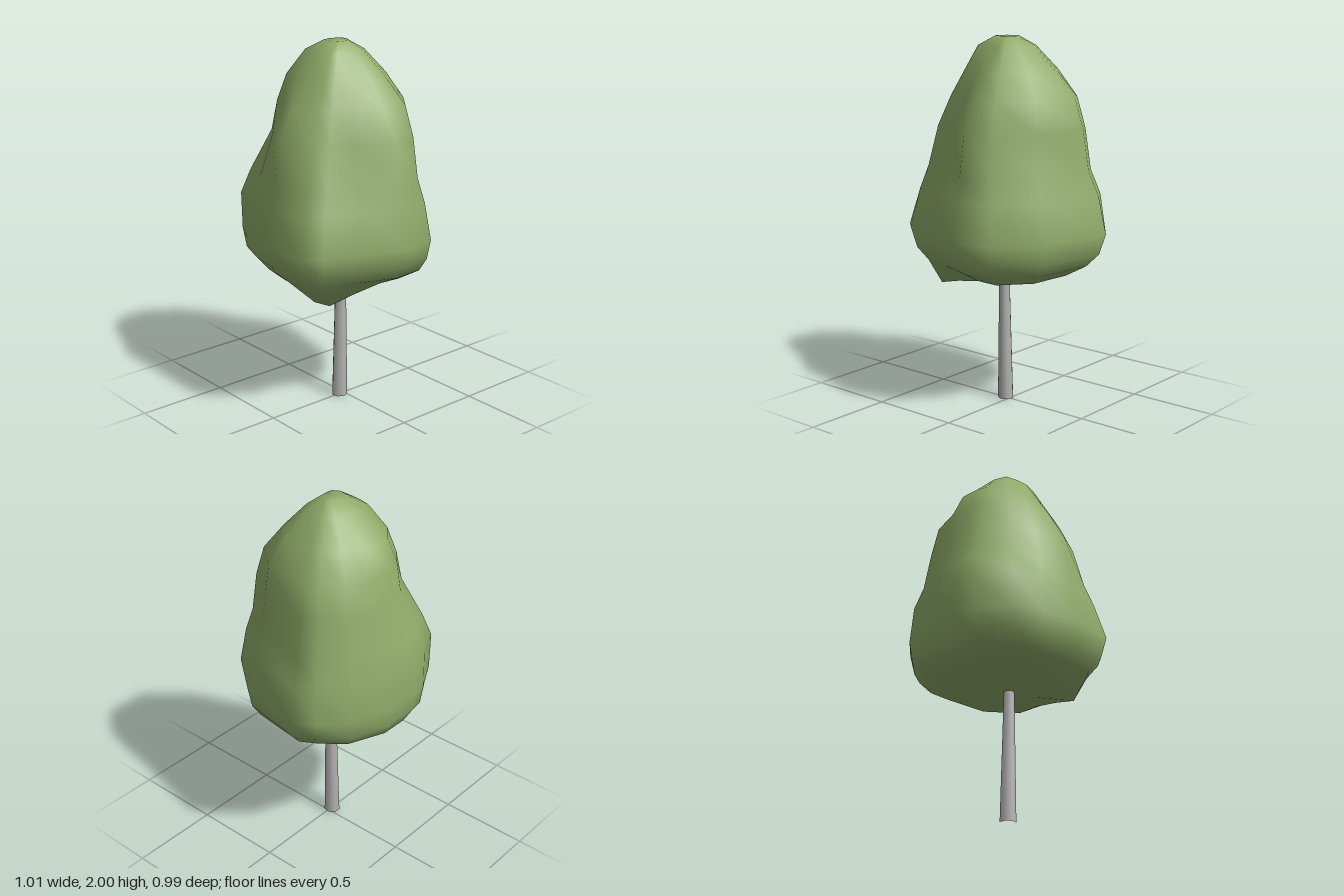
import * as THREE from 'three';
import { mergeVertices } from 'three/addons/utils/BufferGeometryUtils.js';

const leafGreen = new THREE.MeshStandardMaterial({ color: 0x8fab69 });
leafGreen.name = 'leaf green';
const trunkGrey = new THREE.MeshStandardMaterial({ color: 0xb4b4b4 });
trunkGrey.name = 'trunk grey';

// Plan outline of the crown at its widest, [x, z], from the back round by +x
const outline = [
  [-0.12, -0.5], [0.06, -0.495], [0.3, -0.42], [0.43, -0.29], [0.505, -0.19],
  [0.42, 0.2], [0.23, 0.44], [0.03, 0.495], [-0.23, 0.39], [-0.42, 0.33],
  [-0.505, 0.25], [-0.51, 0], [-0.47, -0.2], [-0.4, -0.385], [-0.22, -0.485],
];

// Reach of the outline in eight directions: back, back +x, +x, front +x,
// front, front -x, -x, back -x
const fullReach = [0.5, 0.5, 0.505, 0.474, 0.497, 0.534, 0.51, 0.555];

// Crown sections from the top down: height, then reach in the same directions
const sections = [
  [2.0, [0.07, 0.05, 0.02, 0.02, 0.04, 0.06, 0.09, 0.1]],
  [1.95, [0.15, 0.14, 0.11, 0.12, 0.09, 0.15, 0.17, 0.2]],
  [1.82, [0.31, 0.25, 0.23, 0.25, 0.19, 0.21, 0.25, 0.3]],
  [1.68, [0.37, 0.36, 0.32, 0.36, 0.29, 0.27, 0.34, 0.35]],
  [1.52, [0.385, 0.4, 0.365, 0.37, 0.39, 0.32, 0.43, 0.38]],
  [1.3, [0.45, 0.43, 0.395, 0.39, 0.43, 0.39, 0.46, 0.5]],
  [1.17, [0.485, 0.48, 0.45, 0.44, 0.455, 0.46, 0.475, 0.555]],
  [0.97, [0.495, 0.5, 0.505, 0.474, 0.497, 0.534, 0.51, 0.55]],
  [0.86, [0.485, 0.48, 0.46, 0.47, 0.45, 0.5, 0.485, 0.53]],
  [0.79, [0.45, 0.42, 0.39, 0.44, 0.39, 0.44, 0.42, 0.47]],
  [0.73, [0.38, 0.3, 0.3, 0.34, 0.27, 0.37, 0.34, 0.4]],
  [0.715, [0.18, 0.15, 0.14, 0.15, 0.13, 0.18, 0.16, 0.18]],
];

// Scale of a section relative to the outline, in the direction of (x, z)
function scaleTowards(reach, x, z) {
  const turn = (Math.atan2(x, -z) / (Math.PI / 4) + 8) % 8;
  const i = Math.floor(turn), j = (i + 1) % 8;
  return THREE.MathUtils.lerp(reach[i] / fullReach[i], reach[j] / fullReach[j], turn - i);
}

function crownGeometry() {
  const n = outline.length;
  const positions = [];
  const index = [];
  sections.forEach(([height, reach], r) => {
    outline.forEach(([ox, oz], i) => {
      const s = scaleTowards(reach, ox, oz);
      const x = ox * s, z = oz * s;
      // Drooping lobe under the front
      const sag = height < 0.75 ? 0.085 * Math.exp(-((x + 0.25) ** 2 + (z - 0.18) ** 2) / 0.015) : 0;
      positions.push(x, height - sag, z);
      if (r === sections.length - 1) return;
      const a = r * n + i, b = r * n + (i + 1) % n;
      index.push(a, b, a + n, b, b + n, a + n);
    });
  });
  // Close the tip and the underside
  const tip = positions.length / 3, base = tip + 1, last = (sections.length - 1) * n;
  positions.push(-0.03, 2, -0.02, -0.03, 0.72, 0);
  for (let i = 0; i < n; i++) {
    const j = (i + 1) % n;
    index.push(tip, j, i, base, last + i, last + j);
  }
  const g = new THREE.BufferGeometry();
  g.setAttribute('position', new THREE.Float32BufferAttribute(positions, 3));
  g.setIndex(index);
  const merged = mergeVertices(g, 1e-4);
  merged.computeVertexNormals();
  return merged;
}

export function createModel() {
  const tree = new THREE.Group();
  tree.name = 'tree';

  const crown = new THREE.Mesh(crownGeometry(), leafGreen);
  crown.name = 'crown';
  tree.add(crown);

  // Slim tapered trunk leaning slightly towards the front, open at its ends
  const trunkShape = new THREE.CylinderGeometry(0.029, 0.044, 0.74, 7, 1, true);
  trunkShape.translate(0, 0.37, 0);
  const p = trunkShape.attributes.position;
  for (let i = 0; i < p.count; i++) p.setZ(i, p.getZ(i) - 0.004 + p.getY(i) * 0.015);
  const trunk = new THREE.Mesh(trunkShape, trunkGrey);
  trunk.name = 'trunk';
  trunk.position.x = -0.028;
  tree.add(trunk);

  return tree;
}
